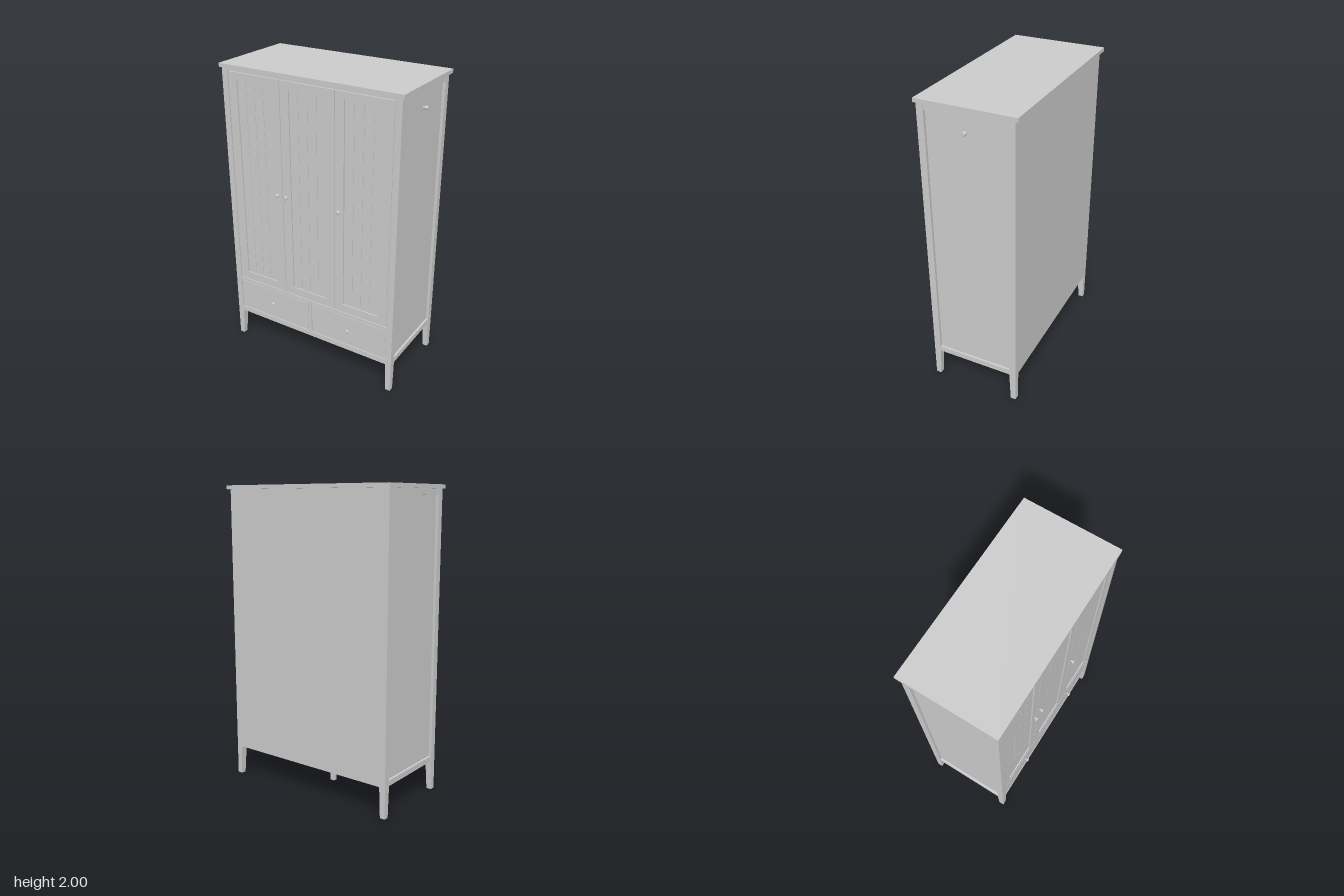
import * as THREE from 'three';

const material = new THREE.MeshStandardMaterial({ color: 0xcccccc });

// Box given by its min and max on each axis
function box(parent, name, x0, x1, y0, y1, z0, z1) {
  const geometry = new THREE.BoxGeometry(x1 - x0, y1 - y0, z1 - z0);
  geometry.translate((x0 + x1) / 2, (y0 + y1) / 2, (z0 + z1) / 2);
  const mesh = new THREE.Mesh(geometry, material);
  mesh.name = name;
  parent.add(mesh);
  return mesh;
}

// Turned knob pointing along +z from its own origin
function knob(parent, name, x, y, z) {
  const profile = [[0, 0], [0.006, 0], [0.006, 0.01], [0.013, 0.013], [0.013, 0.02], [0.01, 0.023], [0, 0.023]]
    .map(([r, h]) => new THREE.Vector2(r, h));
  const geometry = new THREE.LatheGeometry(profile, 16).toNonIndexed();
  geometry.computeVertexNormals();
  geometry.rotateX(Math.PI / 2);
  const mesh = new THREE.Mesh(geometry, material);
  mesh.name = name;
  mesh.position.set(x, y, z);
  parent.add(mesh);
  return mesh;
}

const FRONT = 0.30, BACK = -0.302, SIDE = 0.622;
const POST_X = 0.58, POST_FRONT = 0.255, POST_BACK = -0.257;
const BASE = 0.2, UNDER_TOP = 1.975;

// Corner post whose foot tapers on its two inner faces
function cornerPost(parent, sx, front) {
  const x0 = sx > 0 ? POST_X : -SIDE, x1 = sx > 0 ? SIDE : -POST_X;
  const z0 = front ? POST_FRONT : BACK, z1 = front ? FRONT : POST_BACK;
  const group = new THREE.Group();
  group.name = (front ? 'front' : 'back') + (sx > 0 ? 'Left' : 'Right') + 'Post';
  box(group, 'post', x0, x1, BASE, UNDER_TOP, z0, z1);
  const foot = box(group, 'foot', x0, x1, 0, BASE, z0, z1);
  const p = foot.geometry.attributes.position;
  for (let i = 0; i < p.count; i++) {
    if (p.getY(i) > 0.1) continue;
    if (Math.abs(p.getX(i)) < 0.6) p.setX(i, p.getX(i) + sx * 0.008);
    if (Math.abs(p.getZ(i)) < 0.28) p.setZ(i, p.getZ(i) + (front ? 0.01 : -0.01));
  }
  foot.geometry.computeVertexNormals();
  parent.add(group);
}

// Framed door with a recessed panel of four planks
function door(parent, name, x0, x1) {
  const group = new THREE.Group();
  group.name = name;
  const y0 = 0.488, y1 = 1.955, p0 = 0.545, p1 = 1.91, stile = 0.062;
  const z0 = 0.27, z1 = 0.297;
  const a = x0 + stile, b = x1 - stile;
  box(group, 'stile', x0, a, y0, y1, z0, z1);
  box(group, 'stile', b, x1, y0, y1, z0, z1);
  box(group, 'topRail', a, b, p1, y1, z0, z1);
  box(group, 'bottomRail', a, b, y0, p0, z0, z1);
  box(group, 'panelBacking', a, b, p0, p1, z0, 0.286);
  const w = (b - a) / 4, gap = 0.001;
  for (let i = 0; i < 4; i++) {
    box(group, 'plank', a + i * w + gap, a + (i + 1) * w - gap, p0, p1, 0.28, 0.289);
  }
  parent.add(group);
}

export function createModel() {
  const wardrobe = new THREE.Group();
  wardrobe.name = 'wardrobe';

  // Top, floor and back
  box(wardrobe, 'top', -0.636, 0.636, UNDER_TOP, 2, -0.325, 0.31);
  box(wardrobe, 'floor', -0.6, 0.6, 0.208, 0.225, -0.295, 0.285);
  box(wardrobe, 'backPanel', -POST_X, POST_X, BASE, UNDER_TOP, BACK, -0.29);
  box(wardrobe, 'centreLeg', -0.017, 0.017, 0, 0.21, -0.013, 0.013);

  // Posts and framed sides
  for (const s of [-1, 1]) {
    cornerPost(wardrobe, s, true);
    cornerPost(wardrobe, s, false);
    const span = (name, inner, outer, y0, y1) => box(wardrobe, name,
      Math.min(s * inner, s * outer), Math.max(s * inner, s * outer), y0, y1, POST_BACK, POST_FRONT);
    span('sidePanel', 0.59, 0.604, 0.22, 1.95);
    span('sideTopRail', 0.585, 0.619, 1.936, UNDER_TOP);
    span('sideBottomRail', 0.585, 0.619, BASE, 0.237);
  }

  // Front frame
  box(wardrobe, 'frontTopRail', -POST_X, POST_X, 1.959, UNDER_TOP, 0.26, 0.298);
  box(wardrobe, 'frontMiddleRail', -POST_X, POST_X, 0.462, 0.484, 0.26, 0.298);
  box(wardrobe, 'frontBottomRail', -POST_X, POST_X, BASE, 0.237, 0.26, 0.298);
  box(wardrobe, 'drawerDivider', -0.012, 0.012, 0.237, 0.462, 0.26, 0.298);
  box(wardrobe, 'frontBacking', -POST_X, POST_X, 0.22, 1.965, 0.25, 0.262);

  // Doors
  door(wardrobe, 'rightDoor', -0.576, -0.195);
  door(wardrobe, 'middleDoor', -0.191, 0.191);
  door(wardrobe, 'leftDoor', 0.195, 0.576);
  for (const x of [-0.225, -0.16, 0.225]) knob(wardrobe, 'doorKnob', x, 1.205, 0.297);

  // Drawers
  for (const s of [-1, 1]) {
    const x = s * 0.296;
    box(wardrobe, 'drawerFront', x - 0.28, x + 0.28, 0.241, 0.458, 0.262, 0.296);
    knob(wardrobe, 'drawerKnob', s * 0.3, 0.355, 0.296);
  }

  // Single hanging knob on the left side
  knob(wardrobe, 'sideKnob', 0.604, 1.845, 0).rotation.y = Math.PI / 2;
  wardrobe.getObjectByName('sideKnob').scale.z = 1.35;

  return wardrobe;
}
